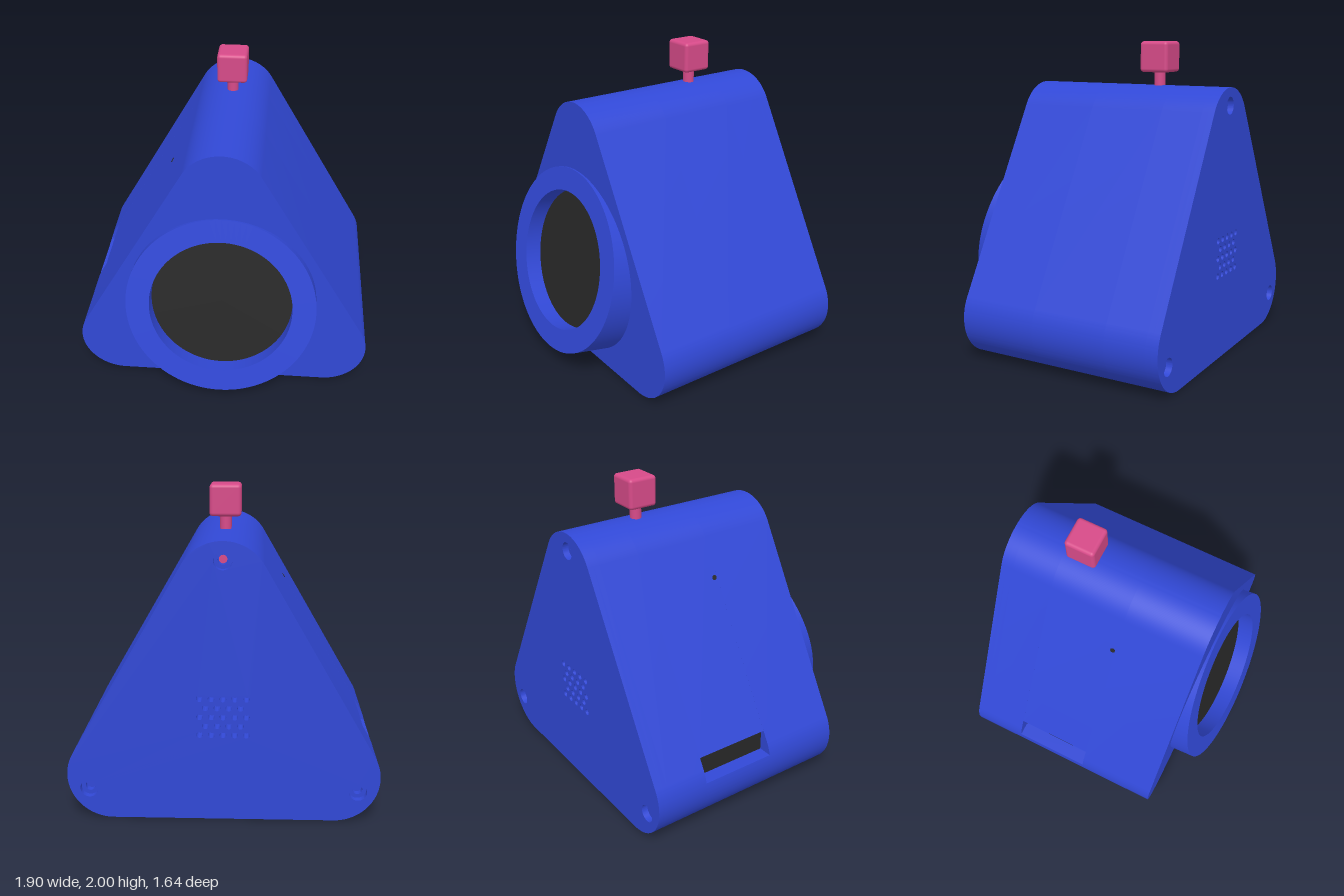
import * as THREE from 'three';
import { toCreasedNormals } from 'three/addons/utils/BufferGeometryUtils.js';
import { RoundedBoxGeometry } from 'three/addons/geometries/RoundedBoxGeometry.js';

const C = 0.675, R = 0.277;            // corner centre offset and corner radius
const APEX = R + C * Math.sqrt(3);     // height of the top corner centre
const TILT = THREE.MathUtils.degToRad(12);

// Rounded triangle outline, optionally with a slot notched into the -x side
function outline(notched = false) {
  const s = new THREE.Shape();
  s.moveTo(-C, 0);
  s.absarc(C, R, R, -Math.PI / 2, Math.PI / 6);
  s.absarc(0, APEX, R, Math.PI / 6, Math.PI * 5 / 6);
  let start = Math.PI * 5 / 6;
  if (notched) {
    s.lineTo(-0.877, 0.48);
    s.lineTo(-0.85, 0.48);
    s.lineTo(-0.85, 0.335);
    start = Math.PI - Math.asin((0.335 - R) / R);
  }
  s.absarc(-C, R, R, start, Math.PI * 1.5);
  return s;
}

function circle(x, y, rx, ry = rx) {
  return new THREE.Path().absellipse(x, y, rx, ry, 0, Math.PI * 2);
}

export function createModel() {
  const group = new THREE.Group();
  const mat = (name, color) => {
    const m = new THREE.MeshStandardMaterial({ color });
    m.name = name;
    return m;
  };
  const blue = mat('blue', 0x3148d6);
  const black = mat('black', 0x272727);
  const pink = mat('pink', 0xd64a88);

  function add(name, geometry, material, x = 0, y = 0, z = 0) {
    const mesh = new THREE.Mesh(geometry, material);
    mesh.name = name;
    mesh.position.set(x, y, z);
    group.add(mesh);
    return mesh;
  }
  function slice(name, shape, z0, z1) {
    const g = new THREE.ExtrudeGeometry(shape, { depth: z1 - z0, bevelEnabled: false, curveSegments: 32 });
    add(name, toCreasedNormals(g, 0.5), blue, 0, 0, z0);
  }

  // Back panel: stepped screw holes and a staggered speaker grille
  const screws = [[0, 1.61], [-0.82, 0.19], [0.82, 0.19]];
  const backSlice = (name, screwRadius, z0, z1) => {
    const s = outline();
    for (const [x, y] of screws) s.holes.push(circle(x, y, screwRadius));
    for (let row = 0; row < 5; row++) {
      const n = row % 2 ? 4 : 5;
      for (let i = 0; i < n; i++) {
        s.holes.push(circle((i - (n - 1) / 2) * 0.07, 0.665 + (row - 2) * 0.057, 0.02));
      }
    }
    slice(name, s, z0, z1);
  };
  backSlice('backPanel', 0.055, -0.82, -0.78);
  backSlice('backPanelInner', 0.03, -0.78, -0.74);

  // Body slices: rear, slotted middle, and front with the display opening
  slice('bodyRear', outline(), -0.74, -0.47);
  slice('bodySlotted', outline(true), -0.47, 0.03);
  const front = outline();
  front.holes.push(circle(0, 0.663, 0.53, 0.53 / Math.cos(TILT)));
  slice('bodyFront', front, 0.03, 0.55);

  // Dark connector at the bottom of the side slot
  add('slotConnector', new THREE.BoxGeometry(0.008, 0.143, 0.496), black, -0.852, 0.4075, -0.22);

  // Pinhole on the sloping side
  const pin = add('pinhole', new THREE.CylinderGeometry(0.016, 0.016, 0.004, 20), black, -0.37, 1.359, 0.01);
  pin.rotation.z = Math.PI / 3;

  // Pink tip inside the top screw hole
  const tip = add('topScrewTip', new THREE.CircleGeometry(0.025, 20), pink, 0, screws[0][1], -0.765);
  tip.rotation.y = Math.PI;

  // Tilted display ring with its recessed round screen
  const ringProfile = [[0.605, -0.3], [0.605, 0], [0.455, 0], [0.455, -0.3]]
    .map(([x, y]) => new THREE.Vector2(x, y));
  const ring = add('displayRing',
    toCreasedNormals(new THREE.LatheGeometry(ringProfile, 96), 0.5), blue, 0, 0.6925, 0.69);
  ring.rotation.x = Math.PI / 2 - TILT;
  const screen = new THREE.Mesh(new THREE.CylinderGeometry(0.455, 0.455, 0.02, 96), black);
  screen.name = 'screen';
  screen.position.y = -0.12;
  ring.add(screen);

  // Top knob on its stem
  add('knobStem', new THREE.CylinderGeometry(0.036, 0.036, 0.16, 32), pink, 0, 1.76, -0.33);
  add('knob', new RoundedBoxGeometry(0.194, 0.194, 0.194, 4, 0.022), pink, 0, 1.903, -0.33);

  return group;
}
